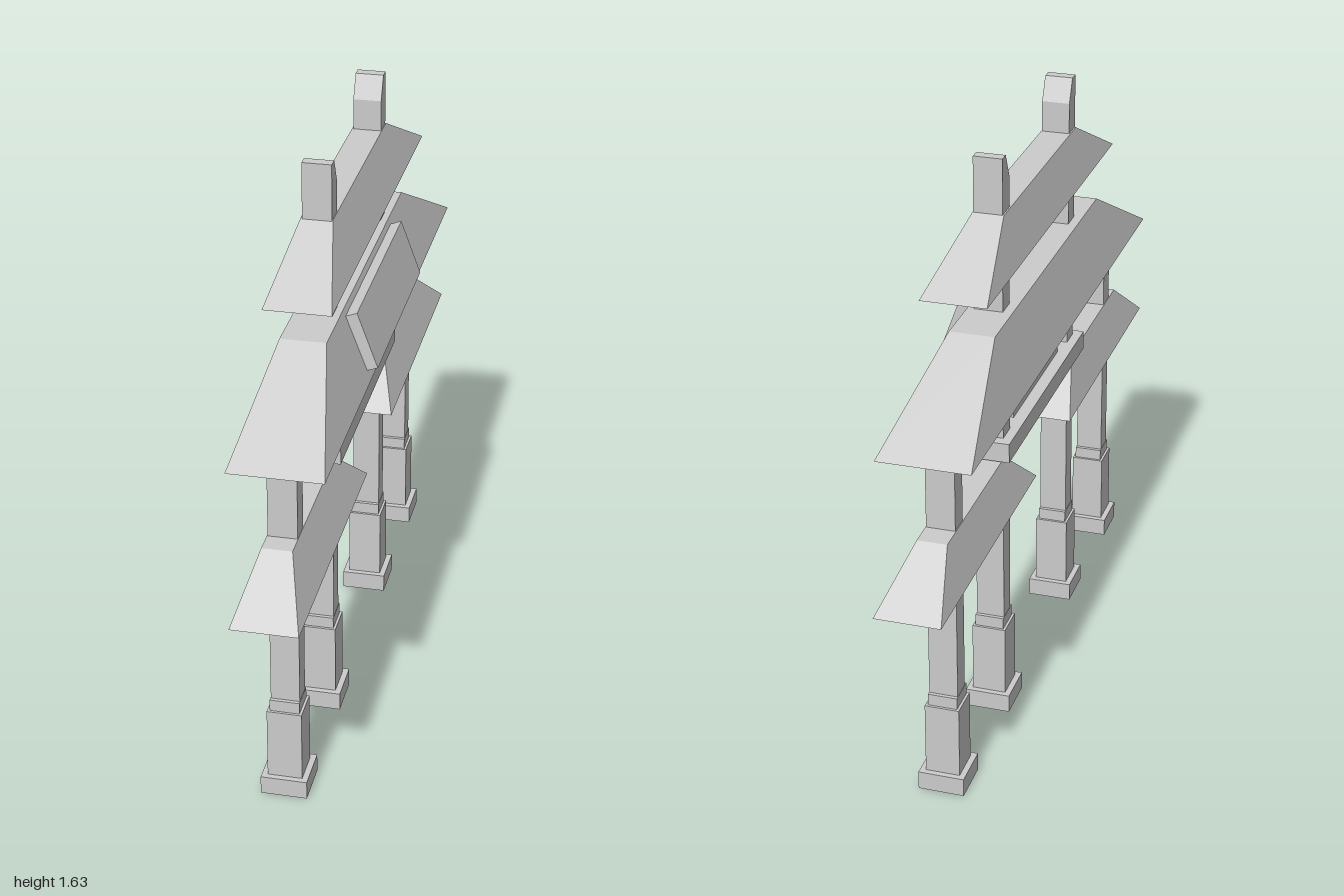
import * as THREE from 'three';

const CX = -0.017; // centre plane of the posts
const CZ = 0.005; // middle of the gate along its length
const material = new THREE.MeshStandardMaterial({ color: 0xcccccc, flatShading: true });

function add(parent, name, geometry) {
  const mesh = new THREE.Mesh(geometry, material);
  mesh.name = name;
  parent.add(mesh);
  return mesh;
}

// Box given by its [min, max] range on each axis
function box(parent, name, [x0, x1], [y0, y1], [z0, z1]) {
  const mesh = add(parent, name, new THREE.BoxGeometry(x1 - x0, y1 - y0, z1 - z0));
  mesh.position.set((x0 + x1) / 2, (y0 + y1) / 2, (z0 + z1) / 2);
  return mesh;
}

// Hipped roof: a box whose lower and upper corners take separate x and z ranges
function roof(parent, name, [y0, y1], eaveX, eaveZ, ridgeX, ridgeZ) {
  const g = new THREE.BoxGeometry(1, 1, 1);
  const p = g.attributes.position;
  for (let i = 0; i < p.count; i++) {
    const top = p.getY(i) > 0;
    const xs = top ? ridgeX : eaveX;
    const zs = top ? ridgeZ : eaveZ;
    p.setXYZ(i, xs[p.getX(i) > 0 ? 1 : 0], top ? y1 : y0, zs[p.getZ(i) > 0 ? 1 : 0]);
  }
  g.computeVertexNormals();
  return add(parent, name, g);
}

// Stepped foot under each post
function foot(parent, z) {
  const steps = [
    ['plinth', 0.063, 0, 0.052],
    ['pedestal', 0.047, 0.052, 0.255],
    ['collar', 0.04, 0.255, 0.288],
  ];
  for (const [name, h, y0, y1] of steps) {
    box(parent, name, [CX - h, CX + h], [y0, y1], [z - h, z + h]);
  }
}

export function createModel() {
  const model = new THREE.Group();
  model.name = 'gateway';

  for (const s of [1, -1]) {
    const side = new THREE.Group();
    side.name = s > 0 ? 'frontSide' : 'backSide';
    model.add(side);

    // Outer post
    const zo = CZ + s * 0.726;
    foot(side, zo);
    box(side, 'outerPost', [CX - 0.039, CX + 0.039], [0.288, 1.03], [zo - 0.03, zo + 0.03]);

    // Inner post, rising through the roofs to a chamfered tip
    const zi = CZ + s * 0.314;
    foot(side, zi);
    const profile = new THREE.Shape([
      [0.03, 0.288], [0.03, 1.635], [0, 1.635], [-0.03, 1.57], [-0.03, 0.288],
    ].map(([z, y]) => new THREE.Vector2(s * z, y)));
    const post = new THREE.ExtrudeGeometry(profile, { depth: 0.078, bevelEnabled: false });
    post.translate(0, 0, -0.039).rotateY(-Math.PI / 2);
    add(side, 'innerPost', post).position.set(CX, 0, zi);

    // Low side roof
    const range = (a, b) => [s * a, s * b].sort((m, n) => m - n);
    roof(side, 'lowRoof', [0.652, 0.786], [-0.099, 0.079], range(0.171, 1),
      [-0.058, 0.023], range(0.333, 0.821));
  }

  // Middle and upper roofs
  roof(model, 'middleRoof', [1.015, 1.213], [-0.136, 0.116], [-0.861, 0.863],
    [-0.082, 0.041], [-0.491, 0.501]);
  roof(model, 'upperRoof', [1.344, 1.483], [-0.099, 0.079], [-0.609, 0.611],
    [-0.06, 0.024], [-0.34, 0.345]);

  // Cross beams with the panel between them
  box(model, 'upperBeam', [-0.082, 0.049], [0.962, 1.015], [-0.37, 0.375]);
  box(model, 'lowerBeam', [-0.082, 0.049], [0.79, 0.845], [-0.37, 0.375]);
  box(model, 'panel', [CX - 0.03, CX + 0.03], [0.845, 0.962], [-0.214, 0.22]);

  // Name board leaning on the middle roof
  const board = box(model, 'board', [0.074, 0.107], [1.042, 1.206], [-0.302, 0.305]);
  board.rotation.z = 0.35;

  return model;
}
